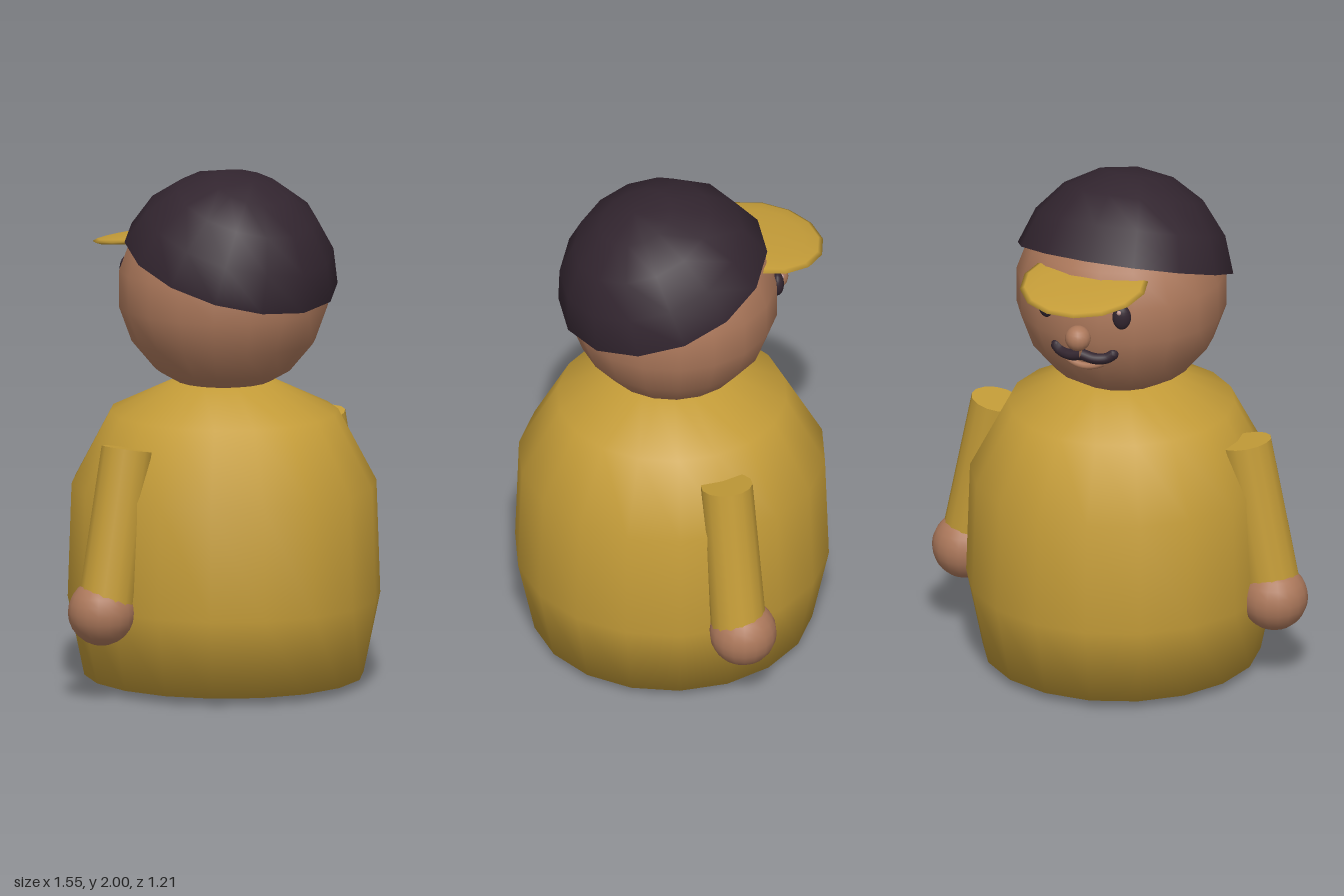
import * as THREE from 'three';

const rad = THREE.MathUtils.degToRad;

function paint(name, color) {
  const m = new THREE.MeshStandardMaterial({ color });
  m.name = name;
  return m;
}

export function createModel() {
  const model = new THREE.Group();
  model.name = 'roundFigure';

  const yellow = paint('mustardYellow', 0xc49c38);
  const skin = paint('skin', 0xac785b);
  const dark = paint('darkPlum', 0x32252f);
  const capCloth = paint('capCloth', 0x32252f);
  capCloth.side = THREE.DoubleSide;
  const glint = paint('eyeGlint', 0xc39a94);

  const add = (name, geometry, material, x = 0, y = 0, z = 0) => {
    const mesh = new THREE.Mesh(geometry, material);
    mesh.name = name;
    mesh.position.set(x, y, z);
    model.add(mesh);
    return mesh;
  };
  const ellipsoid = (rx, ry, rz, w = 18, h = 12) =>
    new THREE.SphereGeometry(1, w, h).scale(rx, ry, rz);

  // Bell-shaped body with a closed base
  const profile = [[0, 0.03], [0.545, 0.03], [0.61, 0.34], [0.595, 0.78], [0.445, 1.06], [0.19, 1.18], [0, 1.18]]
    .map(([r, y]) => new THREE.Vector2(r, y));
  const body = add('body', new THREE.LatheGeometry(profile, 18, Math.PI / 2), yellow, 0, 0, 0.007);
  body.scale.x = 0.98;

  // Head
  add('head', new THREE.SphereGeometry(0.41, 18, 9), skin, 0, 1.54, 0.005);

  // Cap dome, tipped towards the back of the head, and its peak over the face
  const cap = add('capDome',
    new THREE.SphereGeometry(0.43, 14, 4, Math.PI / 2, Math.PI * 2, 0, rad(80)), capCloth, 0, 1.572, 0.02);
  cap.rotation.x = rad(20);
  const peak = add('capPeak', ellipsoid(0.25, 0.022, 0.25, 14, 8), yellow, 0, 1.697, -0.362);
  peak.rotation.x = rad(-9);

  // Nose and mouth
  add('nose', new THREE.SphereGeometry(0.05, 16, 12), skin, 0, 1.495, -0.427);
  const smile = new THREE.QuadraticBezierCurve3(
    new THREE.Vector3(-0.075, 1.375, -0.355),
    new THREE.Vector3(0, 1.335, -0.375),
    new THREE.Vector3(0.075, 1.375, -0.355));
  add('mouth', new THREE.TubeGeometry(smile, 10, 0.014, 8), skin);

  // Mirrored parts
  for (const s of [-1, 1]) {
    const side = s > 0 ? 'left' : 'right';

    // Eye with a small glint
    const eye = add(side + 'Eye', ellipsoid(0.036, 0.05, 0.025), dark, s * 0.158, 1.585, -0.367);
    eye.rotation.y = s * rad(-23);
    add(side + 'EyeGlint', new THREE.SphereGeometry(0.01, 8, 6), glint, s * 0.155, 1.61, -0.386);

    // Moustache half, curling up at its tip
    const curl = new THREE.CatmullRomCurve3([
      new THREE.Vector3(0, 1.412, -0.387),
      new THREE.Vector3(s * 0.05, 1.4, -0.382),
      new THREE.Vector3(s * 0.095, 1.404, -0.367),
      new THREE.Vector3(s * 0.118, 1.42, -0.358)]);
    add(side + 'Moustache', new THREE.TubeGeometry(curl, 12, 0.022, 10), dark);
    add(side + 'MoustacheTip', new THREE.SphereGeometry(0.022, 10, 8), dark, s * 0.118, 1.42, -0.358);

    // Sleeve leaning outwards, and hand
    const arm = add(side + 'Arm', new THREE.CylinderGeometry(0.1, 0.107, 0.6, 14), yellow, s * 0.577, 0.682, 0.004);
    arm.rotation.z = s * rad(11);
    add(side + 'Hand', new THREE.SphereGeometry(0.13, 18, 12), skin, s * 0.645, 0.352, -0.01);

    // Foot, just showing under the body
    add(side + 'Foot', ellipsoid(0.16, 0.1, 0.25), yellow, s * 0.2, 0.1, -0.085);
  }

  return model;
}
